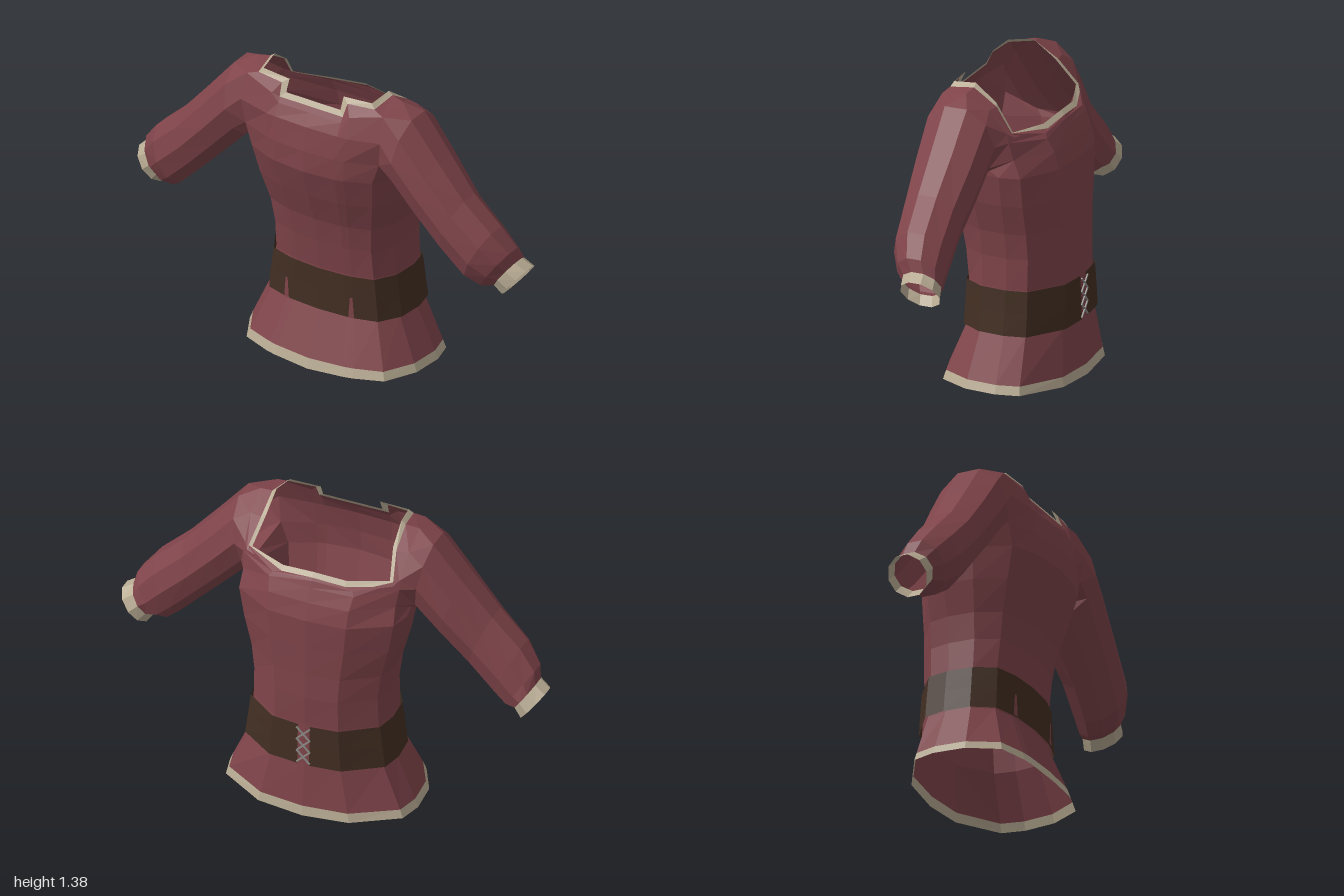
import * as THREE from 'three';

const mat = (name, color) => {
  const m = new THREE.MeshStandardMaterial({ color, side: THREE.DoubleSide });
  m.name = name;
  return m;
};

// Half cross-section of the torso, front centre round to back centre: [x factor, z factor]
const SECTION = [[0, 1], [0.4, 0.95], [0.5, 0.92], [0.8, 0.76], [0.97, 0.25],
  [1, -0.25], [0.94, -0.58], [0.48, -0.95], [0, -1]];

const halfRing = (y, w, front, back, sag = 0) => SECTION.map(([sx, sz]) =>
  [sx * w, y - sag * (1 - sx), sz > 0 ? sz * front : sz * back]);
const mirror = ([x, y, z]) => [-x, y, z];
const fullRing = half => [...half, ...half.slice(1, -1).reverse().map(mirror)];

// Faceted skin between successive rows of points
function loft(rows, { closed = true, flip = false, skip = () => false } = {}) {
  const pos = [];
  for (let i = 0; i < rows.length - 1; i++) {
    const n = rows[i].length;
    for (let j = 0; j < (closed ? n : n - 1); j++) {
      if (skip(i, j)) continue;
      const k = (j + 1) % n;
      const a = rows[i][j], b = rows[i][k], c = rows[i + 1][k], d = rows[i + 1][j];
      pos.push(...(flip ? [a, c, b, a, d, c] : [a, b, c, a, c, d]).flat());
    }
  }
  const g = new THREE.BufferGeometry();
  g.setAttribute('position', new THREE.Float32BufferAttribute(pos, 3));
  g.computeVertexNormals();
  return g;
}

export function createModel() {
  const group = new THREE.Group();
  group.name = 'tunic';
  const red = mat('red cloth', 0x7f444a);
  const cream = mat('cream trim', 0xb8ab93);
  const brown = mat('brown leather', 0x422e22);
  const grey = mat('grey lace', 0x8f8d88);
  const add = (name, geometry, material) => {
    const m = new THREE.Mesh(geometry, material);
    m.name = name;
    group.add(m);
    return m;
  };

  // Skirt and waist rows
  const hemTop = halfRing(0.06, 0.43, 0.262, 0.308, 0.012);
  const lower = [
    hemTop,
    halfRing(0.26, 0.34, 0.178, 0.288),
    halfRing(0.46, 0.314, 0.175, 0.282),
    halfRing(0.6, 0.31, 0.195, 0.285),
    halfRing(0.72, 0.325, 0.218, 0.28),
    halfRing(0.86, 0.362, 0.268, 0.28),
    halfRing(1.0, 0.388, 0.312, 0.28),
  ];

  // Chest rows that frame the arm holes
  const chest = [[0, 1.1, 0.308], [0.15, 1.1, 0.298], [0.2, 1.1, 0.288], [0.345, 1.1, 0.235],
    [0.385, 1.03, 0.1], [0.385, 1.03, -0.02], [0.36, 1.08, -0.13], [0.19, 1.08, -0.245], [0, 1.08, -0.255]];
  const upperChest = [[0, 1.21, 0.288], [0.16, 1.21, 0.282], [0.21, 1.21, 0.278], [0.36, 1.22, 0.25],
    [0.4, 1.2, 0.1], [0.4, 1.2, 0], [0.37, 1.16, -0.11], [0.2, 1.14, -0.215], [0, 1.14, -0.228]];
  const shoulder = [[0, 1.265, 0.255], [0.16, 1.265, 0.255], [0.2, 1.3, 0.248], [0.35, 1.335, 0.215],
    [0.375, 1.36, 0.09], [0.375, 1.3, -0.02], [0.365, 1.2, -0.1], [0.19, 1.16, -0.203], [0, 1.17, -0.215]];
  const neckLow = [[0, 1.288, 0.24], [0.165, 1.288, 0.24], [0.17, 1.345, 0.215], [0.3, 1.35, 0.2],
    [0.315, 1.37, 0.08], [0.32, 1.3, -0.03], [0.345, 1.18, -0.125], [0.15, 1.168, -0.194], [0, 1.182, -0.206]];
  const neckTop = [[0, 1.31, 0.225], [0.14, 1.31, 0.225], [0.14, 1.365, 0.2], [0.28, 1.37, 0.19],
    [0.295, 1.385, 0.08], [0.3, 1.31, -0.02], [0.325, 1.195, -0.11], [0.15, 1.187, -0.175], [0, 1.2, -0.188]];

  const rows = [...lower, chest, upperChest, shoulder, neckLow];
  const holeRow = lower.length;
  add('body', loft(rows.map(fullRing), {
    skip: (i, j) => (i === holeRow || i === holeRow + 1) && ((j >= 3 && j <= 5) || (j >= 10 && j <= 12)),
  }), red);
  add('neckTrim', loft([neckLow, neckTop].map(fullRing)), cream);
  add('hemTrim', loft([halfRing(0.022, 0.445, 0.275, 0.315, 0.02), hemTop].map(fullRing)), cream);

  // Sleeve rings: top [x, y], bottom [x, y], front z, back z
  const stations = [
    [0.46, 1.322, 0.4, 0.985, 0.27, -0.07],
    [0.6, 1.155, 0.5, 0.88, 0.265, -0.055],
    [0.73, 1.005, 0.63, 0.745, 0.252, -0.03],
    [0.865, 0.88, 0.745, 0.63, 0.235, -0.03],
    [0.938, 0.79, 0.8, 0.59, 0.19, -0.03],
    [0.95, 0.735, 0.855, 0.6, 0.15, -0.035],
    [1.0, 0.705, 0.885, 0.56, 0.14, -0.045],
  ];
  const sleeveRing = ([tx, ty, bx, by, zf, zb]) => Array.from({ length: 10 }, (_, i) => {
    const a = (i - 1) * Math.PI / 5, s = Math.sin(a) / Math.sin(Math.PI * 0.4), c = Math.cos(a);
    return [(tx + bx) / 2 + s * (tx - bx) / 2, (ty + by) / 2 + s * (ty - by) / 2,
      (zf + zb) / 2 + c * (zf - zb) / 2];
  });
  const armHole = [chest[3], upperChest[3], shoulder[3], shoulder[4], shoulder[5],
    shoulder[6], upperChest[6], chest[6], chest[5], chest[4]];
  const sleeve = [armHole, ...stations.map(sleeveRing)];
  for (const [side, left] of [['left', true], ['right', false]]) {
    const r = left ? sleeve : sleeve.map(ring => ring.map(mirror));
    add(side + 'Sleeve', loft(r.slice(0, -1), { flip: left }), red);
    add(side + 'Cuff', loft(r.slice(-2), { flip: left }), cream);
  }

  // Wide belt, open at the back centre
  const beltRows = [[0.26, 0.352, 0.19, 0.3], [0.36, 0.338, 0.187, 0.298], [0.46, 0.325, 0.185, 0.293]]
    .map(([y, w, f, b]) => {
      const half = halfRing(y, w, f, b);
      half[8][0] = 0.028;
      return [...half.slice(1).reverse().map(mirror), ...half];
    });
  add('belt', loft(beltRows, { closed: false }), brown);

  // Small slits in the front of the belt
  for (const s of [-1, 1]) {
    const slit = new THREE.Shape([[-0.014, 0], [0.014, 0], [0.006, 0.1], [-0.006, 0.1]]
      .map(p => new THREE.Vector2(...p)));
    const m = add('beltSlit', new THREE.ShapeGeometry(slit), red);
    m.position.set(s * 0.167, 0.262, 0.182);
    m.rotation.y = s * 0.2;
  }

  // Crossed laces over the belt opening
  for (let i = 0; i < 3; i++) {
    for (const s of [-1, 1]) {
      const lace = add('lace', new THREE.BoxGeometry(0.088, 0.007, 0.006), grey);
      lace.position.set(0, 0.3 + i * 0.06, -0.302);
      lace.rotation.z = s * 0.78;
    }
  }
  return group;
}
